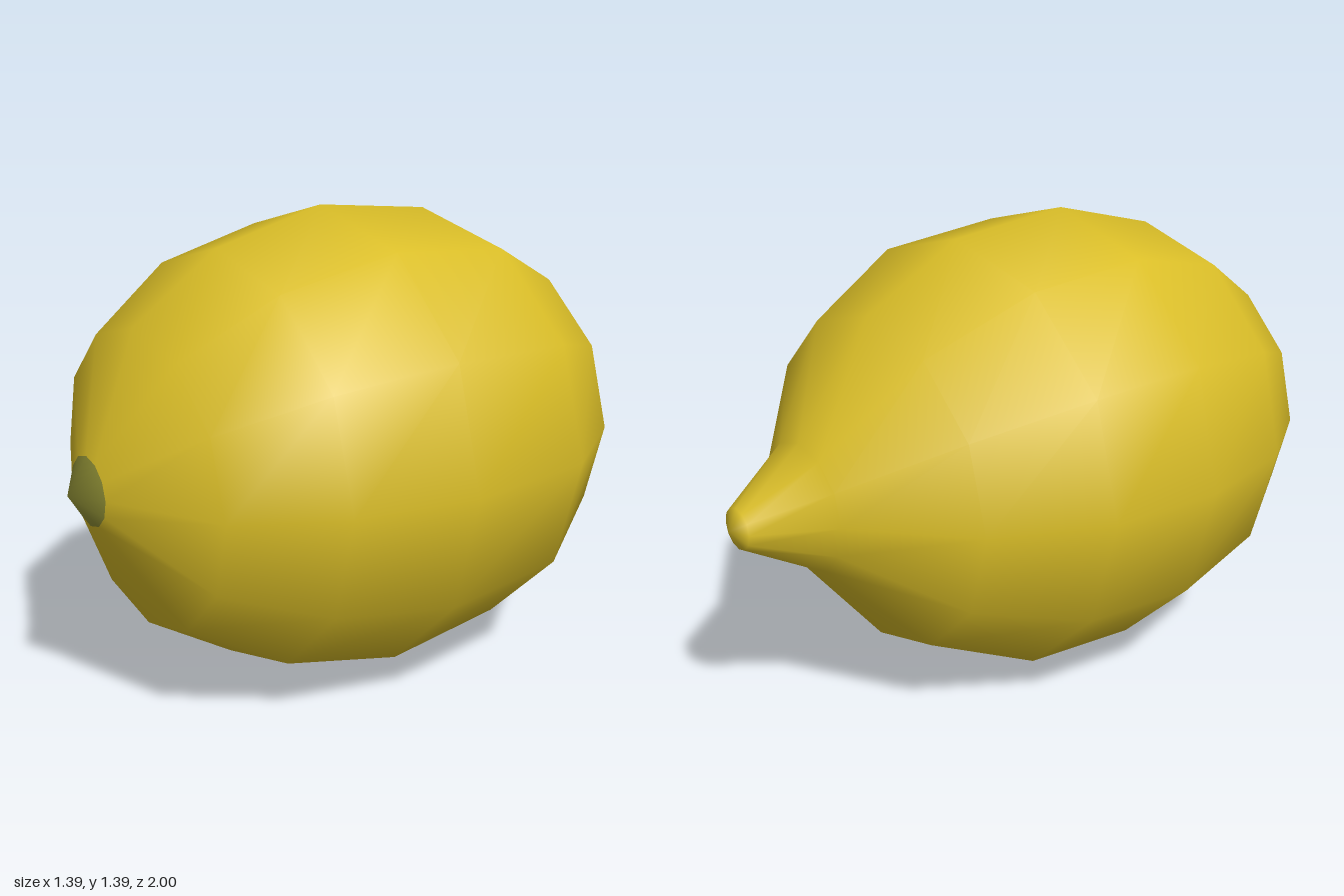
import * as THREE from 'three';

const SIDES = 12;

// Rings from the pointed back to the stem end: centre x, y, z, radius, z lean per unit of x
const RINGS = [
  [0.018, 0.69, -0.975, 0.06, 0],
  [0.02, 0.69, -0.77, 0.187, 0],
  [0.018, 0.693, -0.53, 0.493, 0],
  [0.02, 0.69, -0.21, 0.66, 0],
  [0, 0.697, 0.18, 0.693, 0.07],
  [-0.025, 0.695, 0.53, 0.605, 0.065],
  [-0.043, 0.69, 0.795, 0.427, 0.06],
  [-0.07, 0.687, 0.942, 0.1, 0.08],
];
const BACK_TIP = [0.018, 0.69, -1];
const FRONT_TIP = [-0.08, 0.685, 1];

export function createModel() {
  const peel = new THREE.MeshStandardMaterial({ color: 0xd9bd27 });
  peel.name = 'yellow peel';
  const stem = new THREE.MeshStandardMaterial({ color: 0x8c8c34 });
  stem.name = 'green stem scar';

  const positions = [];
  for (const [cx, cy, cz, r, lean] of RINGS) {
    for (let j = 0; j < SIDES; j++) {
      const a = (j / SIDES) * Math.PI * 2;
      const dx = r * Math.sin(a);
      positions.push(cx + dx, cy + r * Math.cos(a), cz + lean * dx);
    }
  }
  const back = RINGS.length * SIDES;
  const front = back + 1;
  positions.push(...BACK_TIP, ...FRONT_TIP);

  const at = (i, j) => i * SIDES + (j % SIDES);
  const last = RINGS.length - 1;
  const index = [];
  // Back nub
  for (let j = 0; j < SIDES; j++) index.push(back, at(0, j), at(0, j + 1));
  // Bands of peel
  for (let i = 0; i < last; i++) {
    for (let j = 0; j < SIDES; j++) {
      const a = at(i, j), b = at(i, j + 1), c = at(i + 1, j + 1), d = at(i + 1, j);
      index.push(a, d, c, a, c, b);
    }
  }
  // Stem scar closes the front
  const peelCount = index.length;
  for (let j = 0; j < SIDES; j++) index.push(at(last, j), front, at(last, j + 1));

  const geometry = new THREE.BufferGeometry();
  geometry.setAttribute('position', new THREE.Float32BufferAttribute(positions, 3));
  geometry.setIndex(index);
  geometry.addGroup(0, peelCount, 0);
  geometry.addGroup(peelCount, index.length - peelCount, 1);
  geometry.computeVertexNormals();

  const fruit = new THREE.Mesh(geometry, [peel, stem]);
  fruit.name = 'lemonBody';
  const group = new THREE.Group();
  group.name = 'lemon';
  group.add(fruit);
  return group;
}
